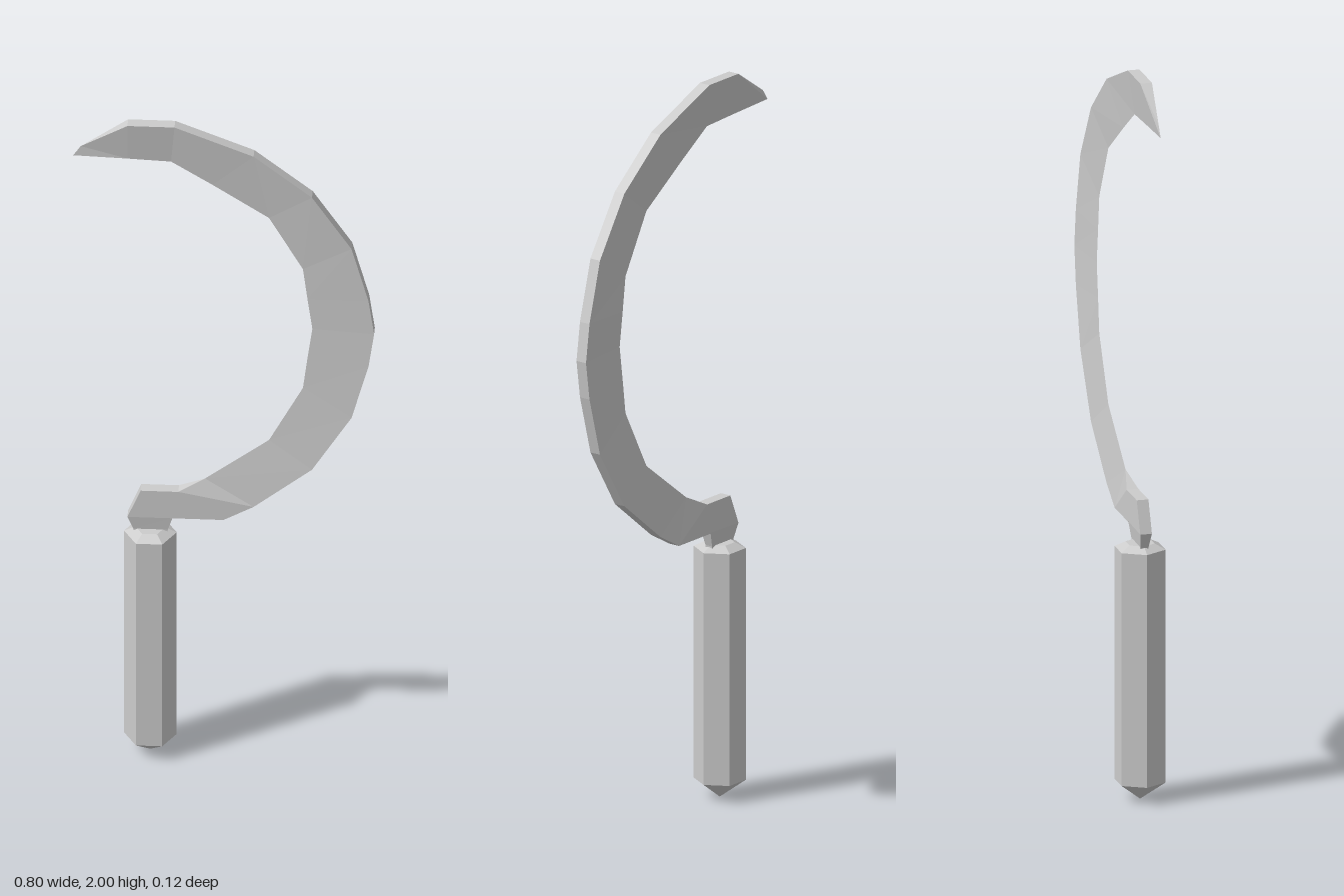
import * as THREE from 'three';

const material = () => new THREE.MeshStandardMaterial({ color: 0xcccccc, flatShading: true });

// Skins a strip of four-cornered sections: [innerX, innerY, spineX, spineY, innerHalf, spineHalf]
function sweep(sections) {
  const positions = [];
  const index = [];
  sections.forEach(([ix, iy, sx, sy, hi, hs], s) => {
    positions.push(ix, iy, hi, sx, sy, hs, sx, sy, -hs, ix, iy, -hi);
    if (s === sections.length - 1) return;
    for (let j = 0; j < 4; j++) {
      const a = s * 4 + j;
      const b = s * 4 + (j + 1) % 4;
      index.push(a, b, b + 4, a, b + 4, a + 4);
    }
  });
  index.push(0, 2, 1, 0, 3, 2); // closes the lower end
  const indexed = new THREE.BufferGeometry();
  indexed.setAttribute('position', new THREE.Float32BufferAttribute(positions, 3));
  indexed.setIndex(index);
  const geometry = indexed.toNonIndexed();
  geometry.computeVertexNormals();
  return geometry;
}

export function createModel() {
  const model = new THREE.Group();
  model.name = 'sickle';

  // Six-sided handle with a pointed butt and a shallow chamfer on top
  const profile = [[0, 0], [0.07, 0.05], [0.07, 0.695], [0.04, 0.71], [0, 0.71]]
    .map(([r, y]) => new THREE.Vector2(r, y));
  const handleGeometry = new THREE.LatheGeometry(profile, 6).rotateY(Math.PI / 6);
  const handle = new THREE.Mesh(handleGeometry, material());
  handle.name = 'handle';
  handle.position.x = -0.195;
  model.add(handle);

  // Cranked tang, full thickness on both edges
  const t = 0.016;
  const tang = [
    [-0.235, 0.69, -0.15, 0.69, 0.011, 0.011],
    [-0.24, 0.71, -0.148, 0.71, 0.011, 0.011],
    [-0.255, 0.75, -0.135, 0.752, t, t],
    [-0.22, 0.835, -0.134, 0.75, t, t],
    [-0.12, 0.835, 0, 0.75, t, t],
  ];

  // Curved blade, sharp along the inside and thick along the spine
  const curve = [
    [-0.05, 0.87, 0.08, 0.795],
    [0.12, 1.0, 0.235, 0.92],
    [0.21, 1.17, 0.34, 1.09],
    [0.222, 1.265, 0.385, 1.255],
    [0.235, 1.36, 0.4, 1.36],
    [0.222, 1.455, 0.385, 1.465],
    [0.21, 1.55, 0.34, 1.63],
    [0.12, 1.71, 0.235, 1.79],
    [-0.03, 1.81, 0.08, 1.915],
    [-0.14, 1.88, -0.13, 2.0],
    [-0.255, 1.885, -0.255, 2.0],
  ].map((p) => [...p, 0, t]);
  const tip = [-0.4, 1.89, -0.38, 1.92, 0, 0];

  const blade = new THREE.Mesh(sweep([...tang, ...curve, tip]), material());
  blade.name = 'blade';
  model.add(blade);

  return model;
}
